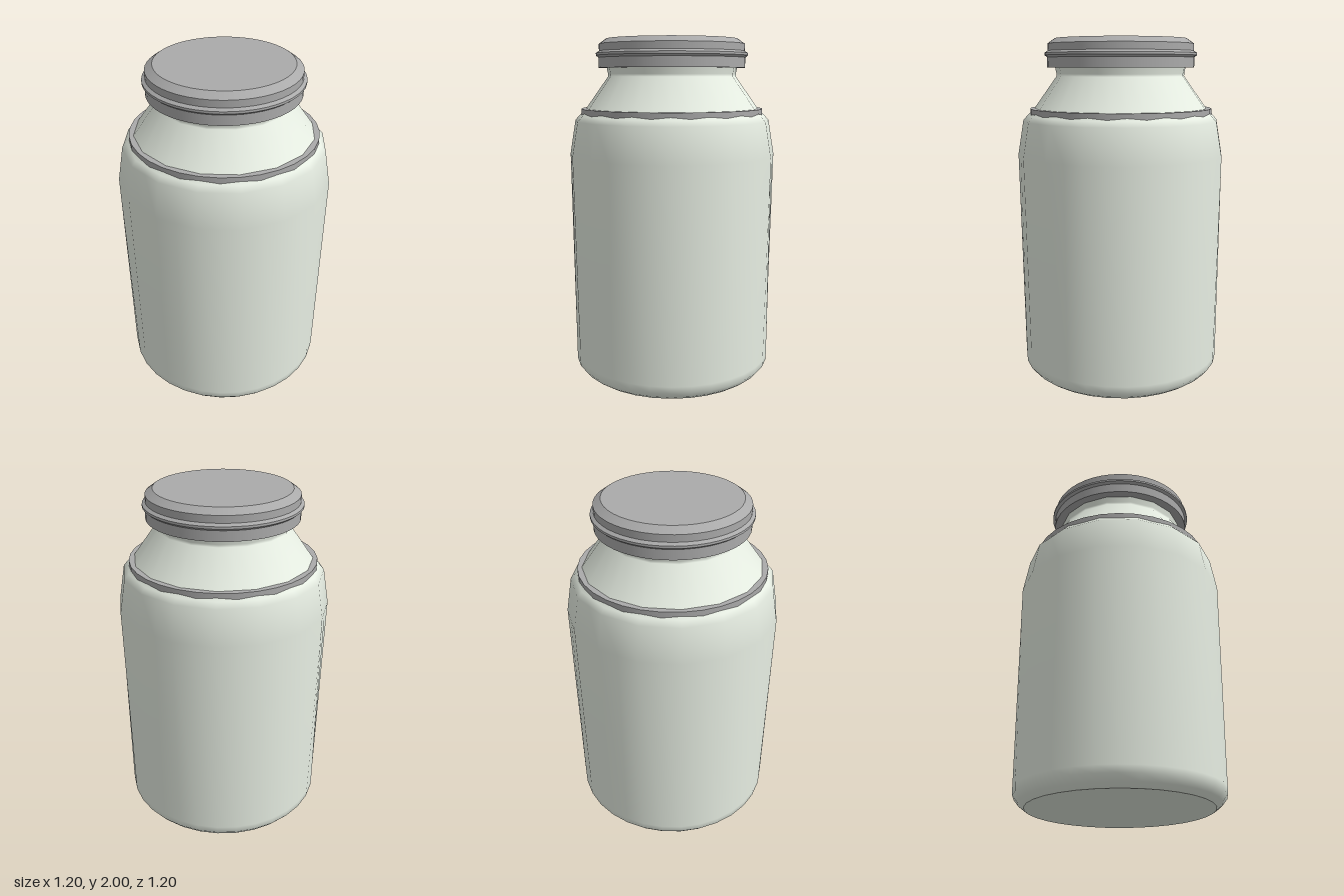
import * as THREE from 'three';
import { mergeGeometries } from 'three/addons/utils/BufferGeometryUtils.js';

const points = list => list.map(([r, y]) => new THREE.Vector2(r, y));

// Lathe each band on its own so that the edges between bands stay sharp
function bandedLathe(bands, segments) {
  return mergeGeometries(bands.map(b => new THREE.LatheGeometry(points(b), segments)));
}

// Round at the foot, turning gradually into a sixteen-sided form at the shoulder
function facetSides(geometry) {
  const p = geometry.attributes.position;
  const corner = 1 / Math.cos(Math.PI / 16);
  for (let i = 0; i < p.count; i++) {
    const x = p.getX(i), z = p.getZ(i);
    const step = Math.round(Math.atan2(x, z) / (Math.PI / 16));
    const weight = THREE.MathUtils.clamp((p.getY(i) - 0.06) / 1.27, 0, 1);
    const scale = Math.abs(step) % 2 === 1 ? 1 + (corner - 1) * weight : 1;
    p.setX(i, x * scale);
    p.setZ(i, z * scale);
  }
  return geometry;
}

export function createModel() {
  const jar = new THREE.Group();
  jar.name = 'jar';
  const glass = new THREE.MeshStandardMaterial({ color: 0xe6ede2, side: THREE.DoubleSide });
  const metal = new THREE.MeshStandardMaterial({ color: 0xaaaaaa });
  const grey = new THREE.MeshStandardMaterial({ color: 0xaaaaaa });

  const add = (name, geometry, material) => {
    const mesh = new THREE.Mesh(geometry, material);
    mesh.name = name;
    jar.add(mesh);
    return mesh;
  };

  // Body with flat base, chamfered foot, shoulder and neck
  add('body', facetSides(bandedLathe([
    [[0, 0], [0.53, 0]],
    [[0.53, 0], [0.565, 0.025], [0.593, 0.06], [0.595, 0.1], [0.6, 1.33], [0.566, 1.53],
      [0.54, 1.56], [0.5, 1.6], [0.37, 1.785], [0.37, 1.8], [0.38, 1.85]],
  ], 32)), glass);

  // Contents, whose rim shows around the shoulder
  const contents = add('contents', new THREE.CylinderGeometry(0.535, 0.535, 1.5, 32), grey);
  contents.position.y = 0.85;

  // Screw lid with bevelled top and a raised bead
  add('lid', bandedLathe([
    [[0.35, 1.835], [0.43, 1.835]],
    [[0.43, 1.835], [0.43, 1.893]],
    [[0.43, 1.893], [0.445, 1.905]],
    [[0.445, 1.905], [0.445, 1.918]],
    [[0.445, 1.918], [0.427, 1.93]],
    [[0.427, 1.93], [0.427, 1.97]],
    [[0.427, 1.97], [0.385, 2]],
    [[0.385, 2], [0, 2]],
  ], 48), metal);

  return jar;
}
